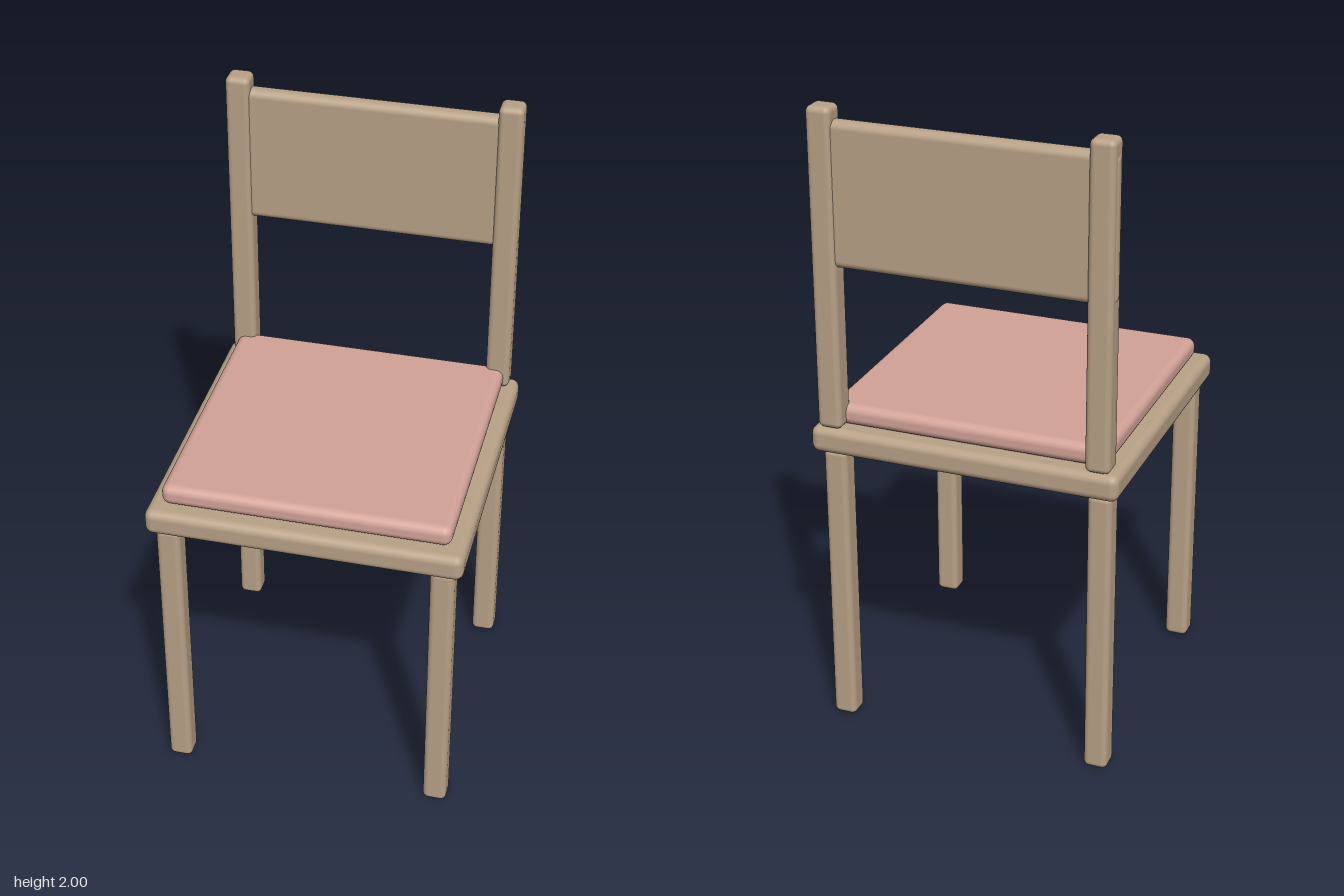
import * as THREE from 'three';
import { RoundedBoxGeometry } from 'three/addons/geometries/RoundedBoxGeometry.js';

export function createModel() {
  const chair = new THREE.Group();
  chair.name = 'chair';

  const wood = new THREE.MeshStandardMaterial({ color: 0xb8a187 });
  wood.name = 'wood';
  const fabric = new THREE.MeshStandardMaterial({ color: 0xd3a398 });
  fabric.name = 'cushionFabric';

  // Soft-edged box given by its size, centre and edge radius
  function addBox(name, [w, h, d], [x, y, z], radius, material) {
    const mesh = new THREE.Mesh(new RoundedBoxGeometry(w, h, d, 4, radius), material);
    mesh.name = name;
    mesh.position.set(x, y, z);
    chair.add(mesh);
  }

  // Seat board and cushion
  addBox('seat', [0.964, 0.084, 0.964], [0, 0.971, 0], 0.026, wood);
  addBox('cushion', [0.876, 0.066, 0.876], [-0.001, 1.047, -0.001], 0.026, fabric);

  // Legs and back posts, mirrored left and right
  for (const side of [-1, 1]) {
    const label = side > 0 ? 'left' : 'right';
    const x = side * 0.418 - 0.001;
    addBox(label + 'FrontLeg', [0.074, 0.926, 0.074], [x, 0.467, 0.418], 0.018, wood);
    addBox(label + 'BackLeg', [0.074, 0.926, 0.074], [x, 0.467, -0.416], 0.018, wood);
    addBox(label + 'BackPost', [0.076, 0.985, 0.076], [x, 1.5075, -0.442], 0.018, wood);
  }

  // Backrest panel, its rounded ends just passing through the posts
  addBox('backrest', [0.918, 0.438, 0.056], [-0.002, 1.741, -0.441], 0.024, wood);

  return chair;
}
